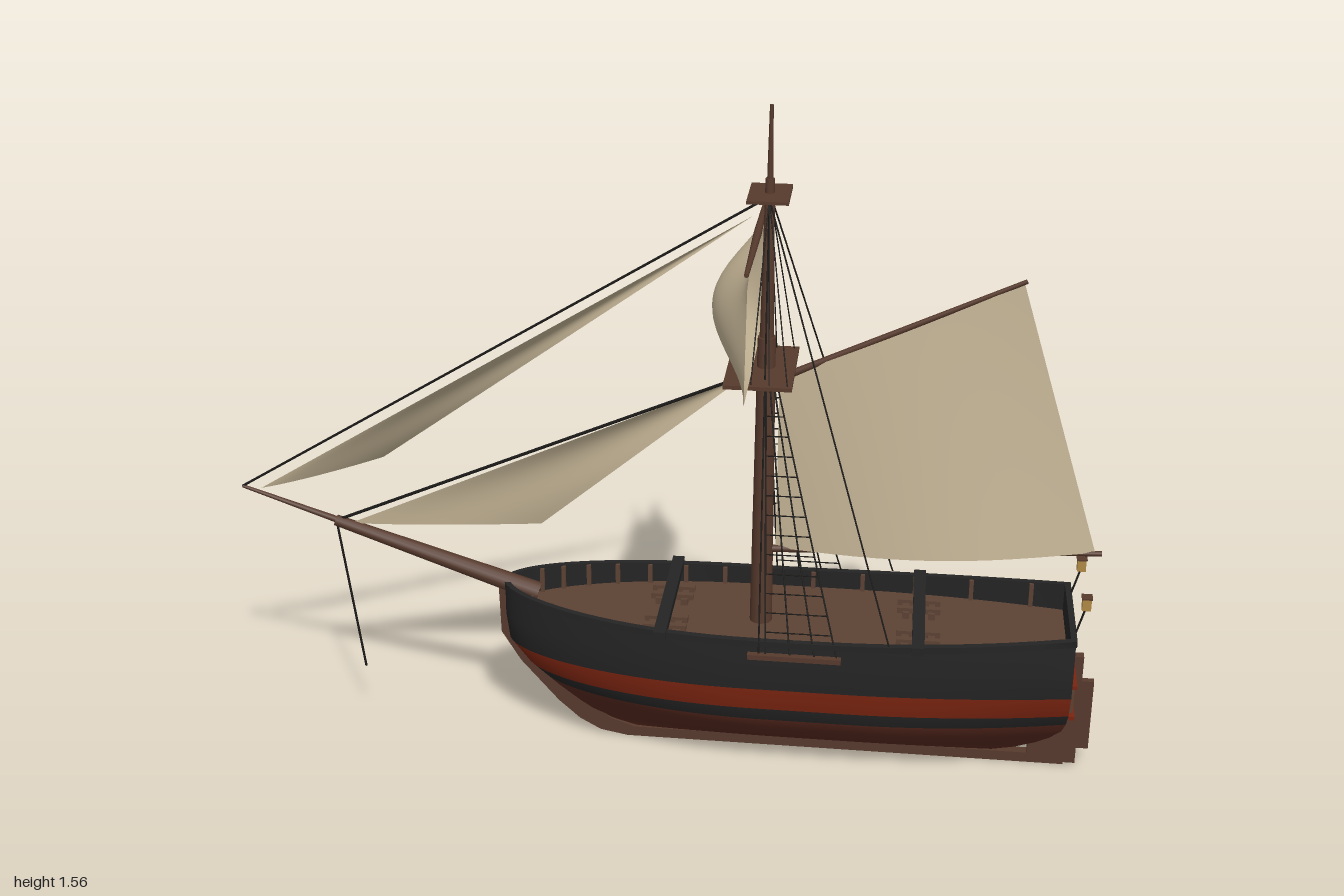
import * as THREE from 'three';

const V = (x, y, z = 0) => new THREE.Vector3(x, y, z);
const mat = (name, color) => new THREE.MeshStandardMaterial({ name, color, side: THREE.DoubleSide });

// Hull lines per height: stem x, stern x, half breadth, stern width factor
const LEVELS = [0.02, 0.04, 0.07, 0.10, 0.135, 0.165, 0.20, 0.255, 0.32, 0.40];
const STEM = [-0.09, -0.14, -0.19, -0.225, -0.265, -0.295, -0.33, -0.372, -0.38, -0.38];
const STERN = [0.76, 0.83, 0.875, 0.905, 0.928, 0.935, 0.937, 0.938, 0.938, 0.938];
const BREADTH = [0.008, 0.032, 0.08, 0.12, 0.15, 0.168, 0.18, 0.187, 0.188, 0.184];
const TAPER = [0.35, 0.4, 0.45, 0.5, 0.57, 0.62, 0.7, 0.76, 0.78, 0.76];
const DECK = 0.335, SPAN = 30;

function lookup(table, y) {
  let i = 0;
  while (i < LEVELS.length - 2 && y > LEVELS[i + 1]) i++;
  const t = THREE.MathUtils.clamp((y - LEVELS[i]) / (LEVELS[i + 1] - LEVELS[i]), 0, 1);
  return THREE.MathUtils.lerp(table[i], table[i + 1], t);
}
const sheer = x => 0.376 + 0.024 * ((x - 0.28) / 0.66) ** 2;

// Point on the hull: t runs -1 (one stern corner) via 0 (bow) to 1 (other stern corner)
function hullPoint(t, y) {
  const u = Math.abs(t) ** 1.7;
  const s = Math.min(u / 0.44, 1), e = Math.max((u - 0.6) / 0.4, 0);
  const bow = (1 - (1 - s) ** 2) ** (y > 0.2 ? 0.55 : 0.55 + (0.2 - y) * 1.2);
  const z = lookup(BREADTH, y) * bow * (1 - (1 - lookup(TAPER, y)) * e * e);
  return V(THREE.MathUtils.lerp(lookup(STEM, y), lookup(STERN, y), u), y, Math.sign(t) * z);
}
// Point at rail height, scaled inwards or outwards
function railPoint(t, scale, dy, deck) {
  const p = hullPoint(t, 0.4);
  return V(0.28 + (p.x - 0.28) * (1 - (1 - scale) * 0.25), deck ? DECK : sheer(p.x) + dy, p.z * scale);
}

// Surface from rows of points; groupOf(row) picks the material index
function surface(rows, groupOf) {
  const n = rows[0].length, g = new THREE.BufferGeometry(), index = [];
  for (let r = 0; r < rows.length - 1; r++) {
    if (groupOf) g.addGroup(index.length, (n - 1) * 6, groupOf(r));
    for (let c = 0; c < n - 1; c++) {
      const a = r * n + c, b = a + n;
      index.push(a, a + 1, b, a + 1, b + 1, b);
    }
  }
  g.setFromPoints(rows.flat());
  g.setIndex(index);
  g.computeVertexNormals();
  return g;
}

export function createModel() {
  const ship = new THREE.Group();
  ship.name = 'sailingShip';
  const wood = mat('wood', 0x5c4234), spar = mat('sparWood', 0x573a2d), black = mat('blackPaint', 0x242424),
    red = mat('redPaint', 0x7a2410), bottom = mat('bottomPaint', 0x592a1f), canvas = mat('canvas', 0xc6b697),
    rope = mat('rope', 0x1b1a18), gold = mat('lanternGold', 0xb08a45);

  const add = (name, geo, m, p) => {
    const mesh = new THREE.Mesh(geo, m);
    mesh.name = name;
    if (p) mesh.position.copy(p);
    ship.add(mesh);
    return mesh;
  };
  const box = (name, m, w, h, d, x, y, z) => add(name, new THREE.BoxGeometry(w, h, d), m, V(x, y, z));
  const rod = (name, m, a, b, r0, r1 = r0, sides = 10) => {
    const d = b.clone().sub(a);
    const mesh = add(name, new THREE.CylinderGeometry(r1, r0, d.length(), sides), m, a.clone().add(b).multiplyScalar(0.5));
    mesh.quaternion.setFromUnitVectors(V(0, 1), d.normalize());
  };
  const line = (name, a, b, r = 0.002) => rod(name, rope, a, b, r, r, 5);

  // Hull shell with painted bands
  const ts = Array.from({ length: SPAN * 2 + 1 }, (_, i) => (i - SPAN) / SPAN);
  const ys = [0.02, 0.04, 0.055, 0.07, 0.085, 0.1, 0.118, 0.135, 0.15, 0.165, 0.2, 0.255, 0.32];
  const rows = ys.map(y => ts.map(t => hullPoint(t, y)));
  rows.push(ts.map(t => railPoint(t, 1, 0)));
  add('hull', surface(rows, r => (r < 9 ? 0 : r === 10 ? 2 : 1)), [bottom, black, red]);
  const ends = rows.map(r => [r[0], r[r.length - 1]]);
  add('transom', surface(ends.slice(9)), black);
  add('sternUnderside', surface(ends.slice(0, 10)), bottom);

  // Bulwark: rail lip, cap and inner wall, closed across the stern
  const ring = (scale, dy, deck) => {
    const r = ts.map(t => railPoint(t, scale, dy, deck));
    return [...r, r[0].clone()];
  };
  add('railLip', surface([ring(1.015, -0.012), ring(1.015, 0.003)]), black);
  add('railCap', surface([ring(1.015, 0.003), ring(0.93, 0.003)]), black);
  add('innerBulwark', surface([ring(0.93, 0.003), ring(0.93, 0, true)]), black);
  add('deck', surface(ts.slice(SPAN).map(t => [railPoint(-t, 0.94, 0, true), railPoint(t, 0.94, 0, true)])), wood);
  for (let i = 5; i < 30; i += 2) for (const s of [-1, 1]) {
    const p = railPoint(s * i / 30, 0.91, 0);
    box('bulwarkTimber', wood, 0.01, p.y - DECK, 0.008, p.x, (p.y + DECK) / 2, p.z);
  }

  // Stem, keel and deadwood in one plank
  const keel = new THREE.Shape([
    [-0.375, 0.41], [-0.394, 0.41], [-0.39, 0.265], [-0.345, 0.19], [-0.255, 0.085], [-0.205, 0.04], [-0.155, 0.012],
    [-0.09, 0], [0.945, 0], [0.945, 0.15], [0.92, 0.11], [0.86, 0.06], [0.86, 0.025], [-0.07, 0.025],
    [-0.13, 0.045], [-0.22, 0.115], [-0.32, 0.21], [-0.36, 0.27]].map(p => new THREE.Vector2(...p)));
  add('stemAndKeel', new THREE.ExtrudeGeometry(keel, { depth: 0.024, bevelEnabled: false }), spar, V(0, 0, -0.012));

  // Rudder, sternpost and stern gallery
  box('sternpost', spar, 0.03, 0.285, 0.022, 0.957, 0.1475, 0);
  box('rudder', spar, 0.036, 0.18, 0.016, 0.982, 0.135, 0);
  for (const y of [0.188, 0.268]) box('galleryRail', red, 0.014, 0.009, 0.23, 0.945, y, 0);
  for (let i = -5; i <= 5; i++) if (i) box('galleryBaluster', wood, 0.008, 0.074, 0.007, 0.944, 0.228, i * 0.019);

  // Stern lanterns
  for (const s of [-1, 1]) {
    line('lanternPost', V(0.935, 0.385, s * 0.095), V(0.955, 0.46, s * 0.095), 0.0025);
    box('lantern', gold, 0.02, 0.028, 0.02, 0.957, 0.475, s * 0.095);
    box('lanternCap', spar, 0.024, 0.004, 0.024, 0.957, 0.491, s * 0.095);
  }

  // Crossbeams, deck fittings and shroud channels
  for (const x of [0.01, 0.59]) {
    box('crossbeam', black, 0.028, 0.02, 0.38, x, 0.378, 0);
    for (const s of [-1, 1]) {
      for (const dz of [-0.02, 0.02]) box('deckRack', wood, 0.1, 0.014, 0.014, x, 0.352, s * 0.075 + dz);
      for (const dx of [-0.03, 0.03]) box('rackFoot', wood, 0.016, 0.016, 0.07, x + dx, 0.343, s * 0.075);
    }
  }
  for (const s of [-1, 1]) box('channel', spar, 0.21, 0.012, 0.018, 0.315, 0.345, s * 0.192);

  // Mast, tops and spars
  const mx = 0.225;
  rod('lowerMast', spar, V(mx, DECK), V(mx, 1.04), 0.026, 0.02, 16);
  rod('topmast', spar, V(mx, 1.02), V(mx, 1.4), 0.016, 0.01, 12);
  rod('mastPole', spar, V(mx, 1.38), V(mx, 1.56), 0.007, 0.004, 8);
  box('lowerTop', spar, 0.15, 0.009, 0.25, 0.215, 0.966, 0);
  box('upperTop', spar, 0.09, 0.007, 0.135, mx, 1.365, 0);
  for (const s of [-1, 1]) rod('topsailYard', spar, V(0.2, 1.275), V(0.2, 1.275, s * 0.272), 0.009, 0.005);
  rod('gaff', spar, V(0.24, 0.935), V(0.78, 1.192), 0.009, 0.005);
  rod('boom', spar, V(0.24, 0.52), V(0.99, 0.553), 0.009, 0.006);
  rod('bowsprit', spar, V(-0.3, 0.37), V(-0.78, 0.53), 0.024, 0.013, 12);
  rod('jibBoom', spar, V(-0.72, 0.512), V(-1, 0.606), 0.009, 0.004);
  line('martingale', V(-0.778, 0.525), V(-0.73, 0.14), 0.003);

  // Sails: rows run from the foot (v = 0) to the head (v = 1)
  const sail = (name, f, n = 16) => add(name, surface(Array.from({ length: n + 1 }, (_, j) =>
    Array.from({ length: n + 1 }, (_, i) => f(i / n, j / n)))), canvas);
  sail('squareTopsail', (u, v) => {
    const k = u * 2 - 1, h = v * 2 - 1;
    return V(0.2 - 0.095 * (1 - k * k) * (1 - h * h), 0.992 + 0.258 * v, k * (0.29 - 0.048 * v));
  });
  const foot = [V(0.255, 0.523), V(0.975, 0.555)], head = [V(0.255, 0.942), V(0.775, 1.186)];
  sail('mainSail', (u, v) => {
    const p = foot[0].clone().lerp(foot[1], u).lerp(head[0].clone().lerp(head[1], u), v);
    p.z = 0.055 * Math.sin(Math.PI * u) * (1 - 0.75 * v);
    return p;
  });
  const jib = (name, tack, clew, top) => sail(name, (u, v) => {
    const p = tack.clone().lerp(clew, u).lerp(top, v);
    p.z = clew.z * u ** 1.5 * (1 - v) - 0.02 * Math.sin(Math.PI * v) * Math.sin(Math.PI * u);
    return p;
  });
  jib('outerJib', V(-0.955, 0.603), V(-0.68, 0.66, -0.085), V(0.19, 1.315));
  jib('innerJib', V(-0.745, 0.524), V(-0.3, 0.523, -0.055), V(0.18, 0.945));

  // Stays, shrouds, ratlines and backstays
  line('outerStay', V(-1, 0.606), V(mx, 1.36), 0.003);
  line('innerStay', V(-0.778, 0.53), V(mx, 0.965), 0.004);
  for (const s of [-1, 1]) {
    const shroud = (x, h) => V(x, 0.35, s * 0.19).lerp(V(mx + (x - 0.23) * 0.12, 0.965, s * 0.03), h);
    for (const x of [0.25, 0.305, 0.36, 0.41]) line('shroud', shroud(x, 0), shroud(x, 1));
    for (let h = 0.08; h < 0.9; h += 0.07) line('ratline', shroud(0.25, h), shroud(0.41, h), 0.0015);
    line('backstay', V(0.525, 0.385, s * 0.183), V(mx, 1.36, s * 0.015));
    line('sideStay', V(0.235, 0.35, s * 0.19), V(mx, 1.34, s * 0.015));
    for (const x of [0.2, 0.24, 0.28]) line('topmastShroud', V(x, 0.967, s * 0.115), V(mx, 1.36, s * 0.012), 0.0015);
  }
  return ship;
}
